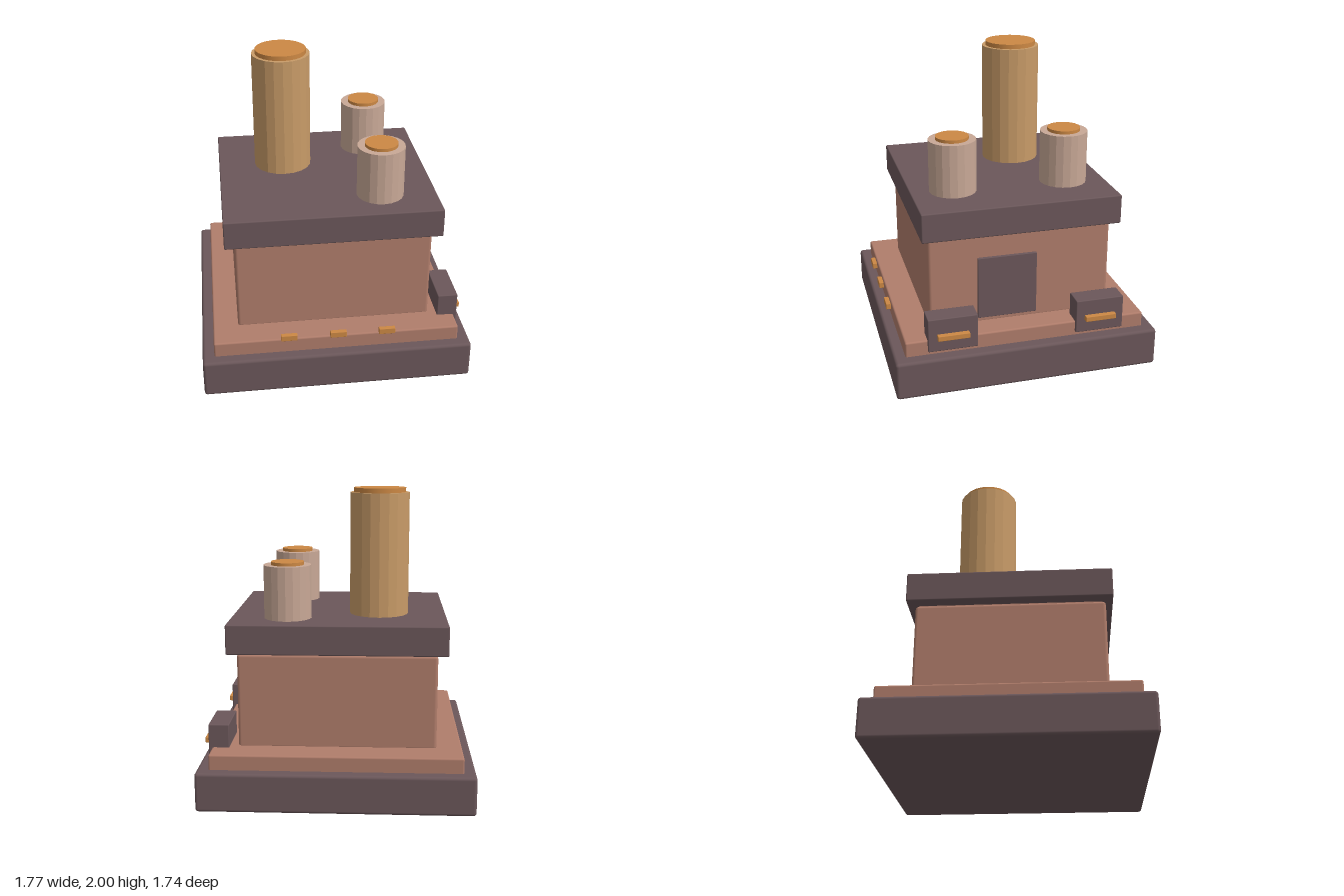
import * as THREE from 'three';
import { RoundedBoxGeometry } from 'three/addons/geometries/RoundedBoxGeometry.js';

const mat = (name, color, flatShading = false) => {
  const m = new THREE.MeshStandardMaterial({ color, flatShading });
  m.name = name;
  return m;
};

export function createModel() {
  const dark = mat('dark stone', 0x6b575a);
  const brick = mat('brick', 0xb07d6b);
  const tan = mat('tan clay', 0xc89b68, true);
  const pale = mat('pale clay', 0xc8a896, true);
  const glow = mat('orange glow', 0xcc8844);
  const model = new THREE.Group();

  const add = (name, geometry, material, x, y, z) => {
    const mesh = new THREE.Mesh(geometry, material);
    mesh.name = name;
    mesh.position.set(x, y, z);
    model.add(mesh);
  };
  // Box given by its extents, with softly rounded edges
  const box = (name, material, [x0, x1], [y0, y1], [z0, z1], radius) => {
    add(name, new RoundedBoxGeometry(x1 - x0, y1 - y0, z1 - z0, 2, radius), material,
      (x0 + x1) / 2, (y0 + y1) / 2, (z0 + z1) / 2);
  };

  // Stacked building
  box('base', dark, [-0.888, 0.886], [0, 0.256], [-0.873, 0.869], 0.02);
  box('plinth', brick, [-0.811, 0.807], [0.24, 0.355], [-0.799, 0.795], 0.012);
  box('body', brick, [-0.645, 0.641], [0.34, 0.964], [-0.604, 0.606], 0.02);
  box('bodyNeck', brick, [-0.625, 0.621], [0.94, 0.98], [-0.584, 0.586], 0.004);
  box('roofSlab', dark, [-0.709, 0.704], [0.972, 1.165], [-0.656, 0.652], 0.008);
  box('door', dark, [0.63, 0.661], [0.385, 0.808], [-0.105, 0.287], 0.003);

  // Side vents with glowing slots
  for (const z of [-0.487, 0.491]) {
    box('vent', dark, [0.695, 0.829], [0.281, 0.507], [z - 0.161, z + 0.161], 0.006);
    box('ventSlot', glow, [0.81, 0.861], [0.366, 0.402], [z - 0.103, z + 0.103], 0.004);
  }

  // Row of front lamps
  for (const x of [-0.323, -0.002, 0.318]) {
    box('frontLamp', glow, [x - 0.053, x + 0.053], [0.374, 0.414], [0.814, 0.845], 0.003);
  }

  // Chimneys with glowing tops
  const chimney = (name, material, x, z, radius, top, glowRadius, glowTop) => {
    const y0 = 1.15;
    add(name, new THREE.CylinderGeometry(radius, radius, top - y0, 20), material, x, (top + y0) / 2, z);
    const h = glowTop - top + 0.02;
    add(name + 'Glow', new THREE.CylinderGeometry(glowRadius, glowRadius, h, 24), glow, x, glowTop - h / 2, z);
  };
  chimney('tallChimney', tan, -0.265, -0.178, 0.195, 1.97, 0.171, 2.0);
  chimney('rearChimney', pale, 0.331, -0.378, 0.156, 1.514, 0.108, 1.535);
  chimney('frontChimney', pale, 0.331, 0.372, 0.156, 1.514, 0.108, 1.535);

  return model;
}
